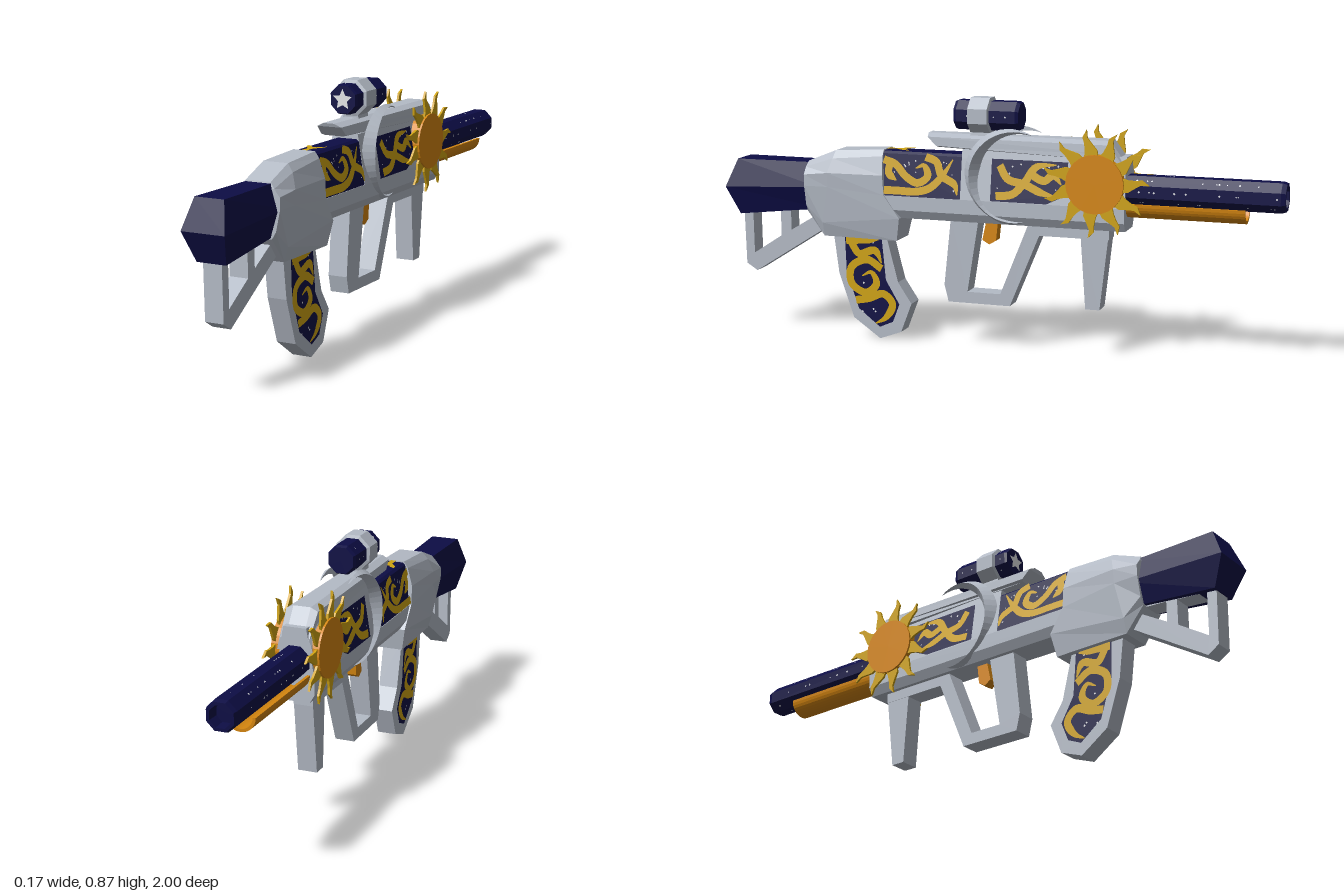
import * as THREE from 'three';
import { mergeGeometries } from 'three/addons/utils/BufferGeometryUtils.js';

const material = (name, color) => Object.assign(new THREE.MeshStandardMaterial({ color }), { name });

// Faceted geometry from points and triangle indices
function build(points, index) {
  const g = new THREE.BufferGeometry();
  g.setAttribute('position', new THREE.Float32BufferAttribute(points.flat(), 3));
  g.setIndex(index);
  return facet(g);
}
function facet(g) {
  const f = g.index ? g.toNonIndexed() : g;
  f.deleteAttribute('uv');
  f.computeVertexNormals();
  return f;
}
// Same geometry on the other side of x = 0, with corner order reversed
function mirrored(g) {
  const m = g.clone(), p = m.attributes.position;
  for (let i = 0; i < p.count; i += 3) {
    const t = [0, 2, 1].map(k => [-p.getX(i + k), p.getY(i + k), p.getZ(i + k)]);
    t.forEach((v, k) => p.setXYZ(i + k, ...v));
  }
  m.computeVertexNormals();
  return m;
}
// Skin over mirrored half profiles [x, y, z], ordered bottom to top and back (-z) to front
function loft(sections) {
  const rings = sections.map(s => [...s, ...s.slice().reverse().map(([x, y, z]) => [-x, y, z])]);
  const n = rings[0].length, index = [], last = (rings.length - 1) * n;
  for (let i = 0; i < rings.length - 1; i++) for (let j = 0; j < n; j++) {
    const a = i * n + j, b = i * n + (j + 1) % n;
    index.push(a, b, b + n, a, b + n, a + n);
  }
  for (let j = 0; j < n / 2 - 1; j++) {
    const q = [j, j + 1, n - 2 - j, n - 1 - j];
    index.push(q[0], q[2], q[1], q[0], q[3], q[2]);
    index.push(...[q[0], q[1], q[2], q[0], q[2], q[3]].map(k => k + last));
  }
  return build(rings.flat(), index);
}
const prism = (half, z0, z1) => loft([z0, z1].map(z => half.map(([x, y]) => [x, y, z])));

// Side outlines are written as [z, y]
const outline = (pts, Type = THREE.Shape) => new Type(pts.map(([z, y]) => new THREE.Vector2(-z, y)));
function slab(pts, halfWidth, holes = []) {
  const s = outline(pts);
  s.holes = holes.map(h => outline(h, THREE.Path));
  const g = new THREE.ExtrudeGeometry(s, { depth: halfWidth * 2, bevelEnabled: false });
  return facet(g.translate(0, 0, -halfWidth).rotateY(Math.PI / 2));
}
function plate(pts, xAt) {
  const g = new THREE.ShapeGeometry(outline(pts)), p = g.attributes.position;
  for (let i = 0; i < p.count; i++) p.setXYZ(i, xAt(p.getY(i)), p.getY(i), -p.getX(i));
  return facet(g);
}
// Flat ribbon along a smooth path, narrowing at its end
function ribbon(pts, width, map) {
  const curve = new THREE.CatmullRomCurve3(pts.map(([a, b]) => new THREE.Vector3(a, b, 0)));
  const n = pts.length * 5, out = [], index = [];
  for (let i = 0; i <= n; i++) {
    const p = curve.getPoint(i / n), t = curve.getTangent(i / n);
    const w = width / 2 * Math.min(1, 0.15 + 3 * (1 - i / n));
    out.push(map(p.x - t.y * w, p.y + t.x * w), map(p.x + t.y * w, p.y - t.x * w));
    if (i < n) index.push(2 * i, 2 * i + 1, 2 * i + 3, 2 * i, 2 * i + 3, 2 * i + 2);
  }
  return build(out, index);
}
const swirls = (paths, width, xAt) => mergeGeometries(paths.map(path =>
  ribbon(path.map(([z, y]) => [-z, y]), width, (a, b) => [xAt(b), b, -a])));
// Eight-sided turned part lying along z; profile is [radius, -z]
const turned = (profile, y) => facet(new THREE.LatheGeometry(
  profile.map(p => new THREE.Vector2(...p)), 8, Math.PI / 8).rotateX(-Math.PI / 2).translate(0, y, 0));

export function createModel() {
  const group = new THREE.Group();
  const grey = material('silver grey', 0xb4bbc6), navy = material('night navy', 0x0d0d45);
  const gold = material('gold', 0xcfa312), orange = material('sun orange', 0xd5860f);
  const white = material('star white', 0xe4e6e8);
  const add = (name, g, m) => {
    const mesh = new THREE.Mesh(g, m);
    mesh.name = name;
    group.add(mesh);
  };
  const addBoth = (name, g, m) => { add(name + 'Left', g, m); add(name + 'Right', mirrored(g), m); };
  let seed = 7;
  const rand = () => (seed = (seed * 16807) % 2147483647) / 2147483647;

  // Stock and its open strut
  add('stock', loft([
    [[.045, .465, .64], [.07, .545, .64], [.045, .63, .64]],
    [[.052, .43, .955], [.077, .53, 1], [.052, .63, .96]]]), navy);
  add('stockStrut', slab([[.95, .44], [.945, .245], [.905, .22], [.62, .40], [.62, .47]], .033, [
    [[.915, .435], [.913, .285], [.805, .355], [.805, .445]],
    [[.765, .45], [.765, .378], [.67, .435], [.67, .455]]]), grey);

  // Receiver and main body
  add('receiver', loft([
    [[.055, .368, .35], [.07, .45, .335], [.074, .53, .39], [.074, .6, .395], [.055, .665, .4], [.04, .687, .4]],
    [[.055, .37, .625], [.07, .42, .625], [.08, .55, .6], [.083, .6, .6], [.065, .65, .585], [.045, .677, .58]],
    [[.05, .455, .69], [.065, .48, .69], [.08, .55, .69], [.08, .59, .69], [.06, .615, .69], [.045, .635, .685]]]), grey);
  add('lowerBody', prism([[.05, .45], [.068, .48], [.068, .53]], -.47, .39), grey);
  add('upperBody', prism([[.068, .53], [.0456, .67], [.04, .7]], -.47, .11), grey);
  add('rearPanel', prism([[.066, .53], [.0445, .675], [.035, .683]], .11, .4), navy);
  add('topRail', loft([
    [[.062, .62, -.47], [.058, .64, -.47], [.05, .66, -.47], [.03, .67, -.47]],
    [[.06, .69, -.41], [.058, .71, -.41], [.055, .74, -.41], [.03, .752, -.41]],
    [[.035, .705, .2], [.047, .71, .205], [.045, .74, .235], [.02, .752, .24]]]), grey);

  // Inlays and gold scrollwork
  const sideX = y => .068 - .16 * (y - .53);
  addBoth('frontPanel', plate([[0, .675], [-.27, .675], [-.27, .565], [-.2, .532], [0, .532]], y => sideX(y) + .003), navy);
  const scrollX = y => sideX(y) + .006;
  addBoth('rearScroll', swirls([
    [[.395, .655], [.35, .64], [.31, .6], [.265, .58], [.23, .605], [.245, .64], [.275, .63]],
    [[.39, .55], [.33, .55], [.27, .55], [.22, .565], [.175, .61], [.14, .665]],
    [[.24, .67], [.2, .655], [.18, .61], [.13, .58], [.12, .545]],
    [[.37, .645], [.375, .61], [.345, .585]]], .027, scrollX), gold);
  addBoth('frontScroll', swirls([
    [[-.02, .55], [-.08, .56], [-.12, .6], [-.16, .655], [-.23, .665]],
    [[-.03, .655], [-.06, .61], [-.12, .595], [-.18, .57], [-.23, .56]],
    [[-.14, .63], [-.19, .61], [-.22, .63], [-.25, .6]]], .027, scrollX), gold);
  const flat = (x, z) => [x, .687, -z];
  add('topScroll', mergeGeometries([
    ribbon([[0, -.4], [0, -.37], [0, -.34], [0, -.33]], .02, flat),
    ribbon([[0, -.36], [.018, -.335], [.034, -.31]], .018, flat),
    ribbon([[0, -.36], [-.018, -.335], [-.034, -.31]], .018, flat)]), gold);

  // Grip with inlay
  add('grip', slab([[.6, .39], [.58, .235], [.525, .075], [.425, .005], [.345, .035], [.305, .14], [.355, .215], [.4, .39]], .035), grey);
  addBoth('gripPanel', plate([[.555, .38], [.55, .245], [.505, .11], [.425, .048], [.375, .07], [.35, .135], [.4, .22], [.415, .38]], () => .0375), navy);
  addBoth('gripScroll', swirls([
    [[.55, .355], [.49, .36], [.425, .365]],
    [[.53, .35], [.5, .31], [.44, .325], [.415, .28]],
    [[.415, .26], [.47, .29], [.53, .26], [.53, .2], [.475, .17], [.435, .205], [.455, .245], [.49, .23]],
    [[.515, .14], [.465, .15], [.41, .17], [.375, .135], [.4, .085], [.44, .06]]], .028, () => .0395), gold);

  // Trigger, guard and foregrip
  add('triggerGuard', slab([[.155, .46], [.18, .22], [.165, .16], [-.06, .16], [-.165, .415], [-.41, .415], [-.41, .46]], .035,
    [[[.055, .45], [.095, .2], [-.025, .2], [-.125, .45]]]), grey);
  add('trigger', slab([[.03, .455], [.045, .385], [.02, .37], [-.005, .385], [-.012, .455]], .02), orange);
  add('foregrip', slab([[-.31, .44], [-.33, .17], [-.38, .17], [-.41, .44]], .034), grey);

  // Barrel and the trough below it
  add('barrel', turned([[0, .4], [.054, .4], [.054, .985], [.049, 1], [.038, 1], [.034, .96], [0, .96]], .588), navy);
  const trough = new THREE.Shape();
  trough.absarc(0, 0, .052, Math.PI, 2 * Math.PI, false);
  trough.absarc(0, 0, .042, 2 * Math.PI, Math.PI, true);
  add('barrelTrough', facet(new THREE.ExtrudeGeometry(trough, { depth: .41, bevelEnabled: false, curveSegments: 8 })
    .translate(0, .545, -.87)), orange);

  // Scope with ring, mount and star
  add('scope', turned([[0, -.14], [.05, -.14], [.054, -.13], [.054, .08], [.048, .092], [0, .092]], .818), navy);
  add('scopeRing', turned([[.05, -.09], [.066, -.085], [.066, -.015], [.05, -.01]], .818), grey);
  add('scopeMount', prism([[.03, .745], [.026, .775]], .015, .085), grey);
  const star = new THREE.Shape(Array.from({ length: 10 }, (_, i) => {
    const a = Math.PI / 2 + i * Math.PI / 5, r = i % 2 ? .018 : .037;
    return new THREE.Vector2(r * Math.cos(a), r * Math.sin(a));
  }));
  add('scopeStar', facet(new THREE.ShapeGeometry(star).translate(0, .818, .143)), white);

  // Sun: disc and curling rays
  const polar = (r, a) => [-.37 - r * Math.cos(a), .61 + r * Math.sin(a)];
  const rays = [];
  for (let i = 0; i < 11; i++) {
    const a = i * 2 * Math.PI / 11;
    for (const [r, d] of [[.09, -.27], [.115, -.2], [.14, -.04], [.158, .03], [.185, .02], [.163, .13], [.14, .13], [.115, .17]])
      rays.push(polar(r, a + d));
  }
  addBoth('sunRays', slab(rays, .004).translate(.073, 0, 0), gold);
  addBoth('sunDisc', facet(new THREE.CylinderGeometry(.1, .1, .042, 24).rotateZ(-Math.PI / 2).translate(.063, .61, -.37)), orange);

  // Crescent moon with a ridge along its middle
  const moon = [], moonIndex = [], steps = 28;
  for (let i = 0; i <= steps; i++) {
    const t = i / steps, o = THREE.MathUtils.degToRad(60 + 240 * t), n = THREE.MathUtils.degToRad(73 + 214 * t);
    const [oz, oy] = [-.065 - .165 * Math.cos(o), .615 + .165 * Math.sin(o)];
    const [nz, ny] = [-.104 - .149 * Math.cos(n), .615 + .149 * Math.sin(n)];
    moon.push([.05, oy, oz], [.052 + .035 * Math.sin(Math.PI * t), (oy + ny) / 2, (oz + nz) / 2], [.05, ny, nz]);
    if (i < steps) for (let j = 0; j < 3; j++) {
      const a = i * 3 + j, b = i * 3 + (j + 1) % 3;
      moonIndex.push(a, a + 3, b + 3, a, b + 3, b);
    }
  }
  addBoth('moon', build(moon, moonIndex), grey);

  // Tiny scattered stars on the navy parts
  const dot = () => new THREE.CircleGeometry(.0025 + .002 * rand(), 4);
  const around = (count, y, z0, z1) => mergeGeometries(Array.from({ length: count }, (_, i) =>
    facet(dot().translate((rand() - .5) * .03, 0, .0512).rotateY(Math.PI / 2).rotateZ(i * Math.PI / 4)
      .translate(0, y, z0 + (z1 - z0) * rand()))));
  add('barrelStars', around(72, .588, -.97, -.5), white);
  add('scopeStars', around(28, .818, -.07, .12), white);
  const field = (count, z0, z1, y0, y1, xAt) => mergeGeometries(Array.from({ length: count }, () => {
    const y = y0 + (y1 - y0) * rand();
    return facet(dot().rotateY(Math.PI / 2).translate(xAt(y), y, z0 + (z1 - z0) * rand()));
  }));
  addBoth('rearPanelStars', field(22, .13, .38, .545, .66, y => sideX(y) + .004), white);
  addBoth('frontPanelStars', field(18, -.25, -.01, .57, .665, y => sideX(y) + .0045), white);
  addBoth('gripStars', field(18, .425, .5, .1, .36, () => .0385), white);
  return group;
}
